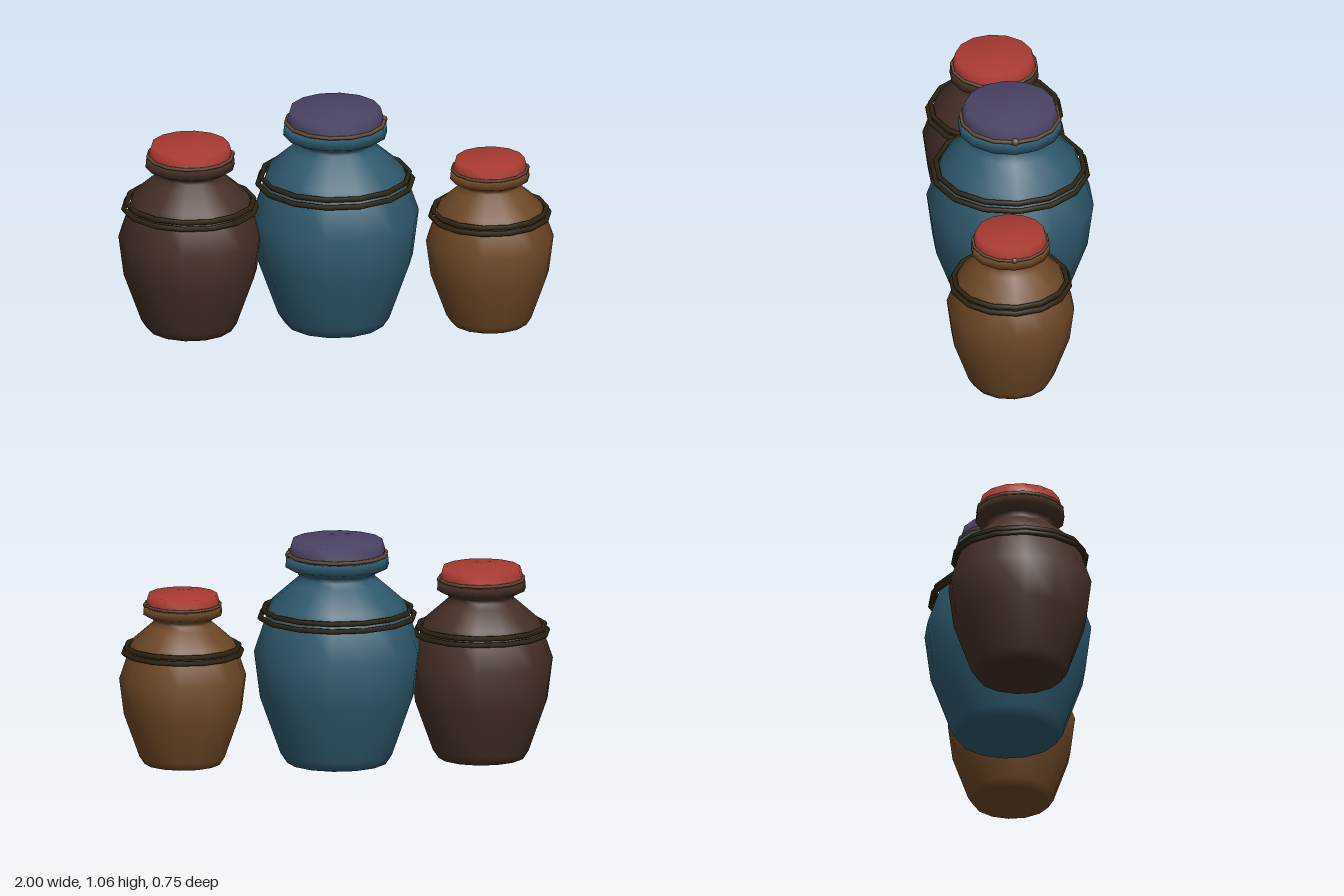
import * as THREE from 'three';

const SIDES = 14;

function material(name, color) {
  const m = new THREE.MeshStandardMaterial({ color });
  m.name = name;
  return m;
}

// Profiles of the largest jar as [radius, height], from the bottom up
const BODY = [
  [0, 0], [0.232, 0], [0.263, 0.047], [0.358, 0.311], [0.386, 0.53], [0.312, 0.746],
  [0.203, 0.842], [0.172, 0.868], [0.183, 0.89], [0.24, 0.918], [0.236, 0.963], [0, 0.965],
];
const LID = [[0.222, 0.962], [0.223, 0.99], [0.209, 1.038], [0, 1.057]];

// Turned shape with a corner on the x axis
function turned(profile, scale) {
  const points = profile.map(([r, y]) => new THREE.Vector2(r * scale, y * scale));
  return new THREE.LatheGeometry(points, SIDES, Math.PI / 2);
}

function addPart(group, name, geometry, mat, x = 0, y = 0) {
  const mesh = new THREE.Mesh(geometry, mat);
  mesh.name = name;
  mesh.position.set(x, y, 0);
  group.add(mesh);
}

function ring(radius, tube) {
  return new THREE.TorusGeometry(radius, tube, 6, SIDES).rotateX(Math.PI / 2);
}

function makeJar(name, s, glaze, cloth, rope, cord) {
  const jar = new THREE.Group();
  jar.name = name;
  addPart(jar, 'body', turned(BODY, s), glaze);
  addPart(jar, 'lid', turned(LID, s), cloth);

  // Two rope bands around the shoulder, of the same thickness on every jar
  addPart(jar, 'lowerRope', ring(0.357 * s, 0.0125), rope, 0, 0.684 * s);
  addPart(jar, 'upperRope', ring(0.342 * s, 0.0125), rope, 0, 0.716 * s);

  // Cord tying the lid, with its knot
  addPart(jar, 'lidCord', ring(0.228 * s, 0.009 * s), cord, 0, 0.976 * s);
  addPart(jar, 'cordKnot', new THREE.SphereGeometry(0.02 * s, 6, 4), cord, 0.222 * s, 0.976 * s);
  return jar;
}

export function createModel() {
  const blue = material('blue glaze', 0x2f5a6e);
  const darkBrown = material('dark brown clay', 0x452f26);
  const tan = material('tan clay', 0x6e4826);
  const red = material('red cloth', 0xa83a32);
  const purple = material('purple cloth', 0x4a4264);
  const rope = material('dark rope', 0x2e2412);
  const cord = material('brown cord', 0x644c37);

  const model = new THREE.Group();
  model.name = 'jars';

  const largeJar = makeJar('largeJar', 1, blue, purple, rope, cord);
  const mediumJar = makeJar('mediumJar', 0.858, darkBrown, red, rope, cord);
  mediumJar.position.set(-0.669, 0, 0);
  const smallJar = makeJar('smallJar', 0.763, tan, red, rope, cord);
  smallJar.position.set(0.705, 0, 0.075);

  model.add(largeJar, mediumJar, smallJar);
  return model;
}
